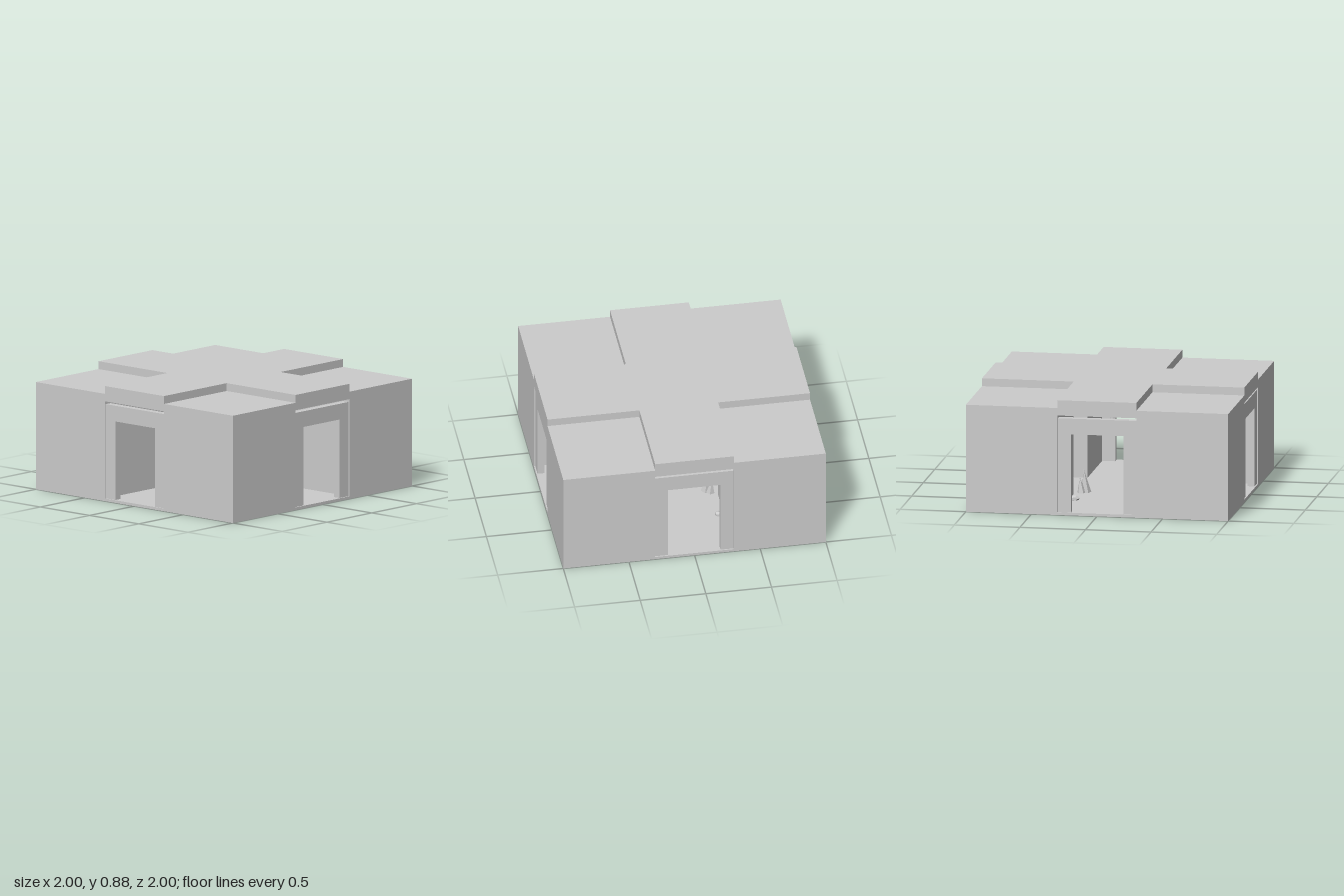
import * as THREE from 'three';

const stone = new THREE.MeshStandardMaterial({ color: 0xcccccc });
stone.name = 'grey stone';

function add(parent, name, geometry, x = 0, y = 0, z = 0) {
  const mesh = new THREE.Mesh(geometry, stone);
  mesh.name = name;
  mesh.position.set(x, y, z);
  parent.add(mesh);
  return mesh;
}

const box = (w, h, d) => new THREE.BoxGeometry(w, h, d);
const faceted = (geometry) => {
  const g = geometry.index ? geometry.toNonIndexed() : geometry;
  g.computeVertexNormals();
  return g;
};

// Pointed stone standing at base and leaning towards tip
function addSpike(parent, name, base, tip, radius) {
  const a = new THREE.Vector3(...base), b = new THREE.Vector3(...tip);
  const length = a.distanceTo(b);
  const spike = add(parent, name, faceted(new THREE.ConeGeometry(radius, length, 5)));
  spike.position.copy(a).lerp(b, 0.5);
  spike.quaternion.setFromUnitVectors(new THREE.Vector3(0, 1, 0), b.sub(a).normalize());
}

// Lantern on a wall bracket; side is the x sign of its wall
function addLantern(parent, side, z) {
  const lantern = new THREE.Group();
  lantern.name = 'lantern';
  lantern.position.z = z;
  parent.add(lantern);
  add(lantern, 'lanternBracket', box(0.16, 0.022, 0.025), side * 0.222, 0.546, 0);
  add(lantern, 'lanternHanger', box(0.005, 0.055, 0.005), side * 0.146, 0.512, 0);
  add(lantern, 'lanternCap', new THREE.CylinderGeometry(0.018, 0.02, 0.014, 12), side * 0.146, 0.482, 0);
  add(lantern, 'lanternBody', new THREE.CylinderGeometry(0.017, 0.017, 0.045, 12), side * 0.146, 0.455, 0);
  add(lantern, 'lanternBase', new THREE.CylinderGeometry(0.02, 0.02, 0.01, 12), side * 0.146, 0.432, 0);
}

export function createModel() {
  const model = new THREE.Group();
  model.name = 'crossingRoom';

  add(model, 'floor', box(2, 0.02, 2), 0, 0.01, 0);

  // Solid corner blocks around the crossing passages
  for (const x of [-0.65, 0.65])
    for (const z of [-0.65, 0.65])
      add(model, 'cornerBlock', box(0.7, 0.8, 0.7), x, 0.42, z);

  // Raised cross-shaped roof
  const cross = new THREE.Shape();
  const w = 0.3;
  [[-w, -1], [w, -1], [w, -w], [1, -w], [1, w], [w, w], [w, 1], [-w, 1], [-w, w], [-1, w], [-1, -w], [-w, -w]]
    .forEach(([x, y], i) => (i ? cross.lineTo(x, y) : cross.moveTo(x, y)));
  cross.closePath();
  const roof = add(model, 'roof', new THREE.ExtrudeGeometry(cross, { depth: 0.117, bevelEnabled: false }), 0, 0.88, 0);
  roof.rotation.x = Math.PI / 2;

  // Slightly recessed doorway wall at each end, with a gap below the roof
  const wall = new THREE.Shape();
  [[-0.3, 0.02], [-0.2, 0.02], [-0.2, 0.62], [0.2, 0.62], [0.2, 0.02], [0.3, 0.02], [0.3, 0.74], [-0.3, 0.74]]
    .forEach(([x, y], i) => (i ? wall.lineTo(x, y) : wall.moveTo(x, y)));
  wall.closePath();
  const wallGeometry = new THREE.ExtrudeGeometry(wall, { depth: 0.055, bevelEnabled: false });
  for (let i = 0; i < 4; i++) {
    const doorway = new THREE.Group();
    doorway.name = 'doorway';
    doorway.rotation.y = i * Math.PI / 2;
    add(doorway, 'doorwayWall', wallGeometry, 0, 0, 0.935);
    model.add(doorway);
  }

  // Hanging points under the middle of the roof
  const point = new THREE.ConeGeometry(0.038, 0.1, 8);
  point.rotateX(Math.PI);
  for (const x of [-0.18, 0, 0.18])
    for (const z of [-0.18, 0, 0.18])
      add(model, 'ceilingPoint', point, x, 0.714, z);

  addLantern(model, -1, -0.5);
  addLantern(model, 1, 0.5);

  // Standing stones in two opposite corners of the crossing
  addSpike(model, 'standingStone', [-0.15, 0.015, 0.18], [-0.13, 0.24, 0.165], 0.035);
  addSpike(model, 'standingStone', [-0.22, 0.015, 0.19], [-0.215, 0.23, 0.2], 0.04);
  addSpike(model, 'standingStone', [-0.21, 0.015, 0.24], [-0.23, 0.18, 0.25], 0.035);
  addSpike(model, 'standingStone', [0.22, 0.015, -0.22], [0.235, 0.2, -0.235], 0.04);
  addSpike(model, 'standingStone', [0.25, 0.015, -0.25], [0.26, 0.14, -0.26], 0.035);

  // Loose rocks beside the passage walls
  const rock = faceted(new THREE.DodecahedronGeometry(1));
  [[-0.24, 0.42, 0.05], [-0.25, 0.5, 0.025], [0.25, -0.53, 0.036], [0.55, -0.26, 0.03]].forEach(([x, z, r], i) => {
    const stoneMesh = add(model, 'looseRock', rock, x, 0.02 + r * 0.4, z);
    stoneMesh.scale.set(r, r * 0.6, r);
    stoneMesh.rotation.y = i * 1.3;
  });

  return model;
}
